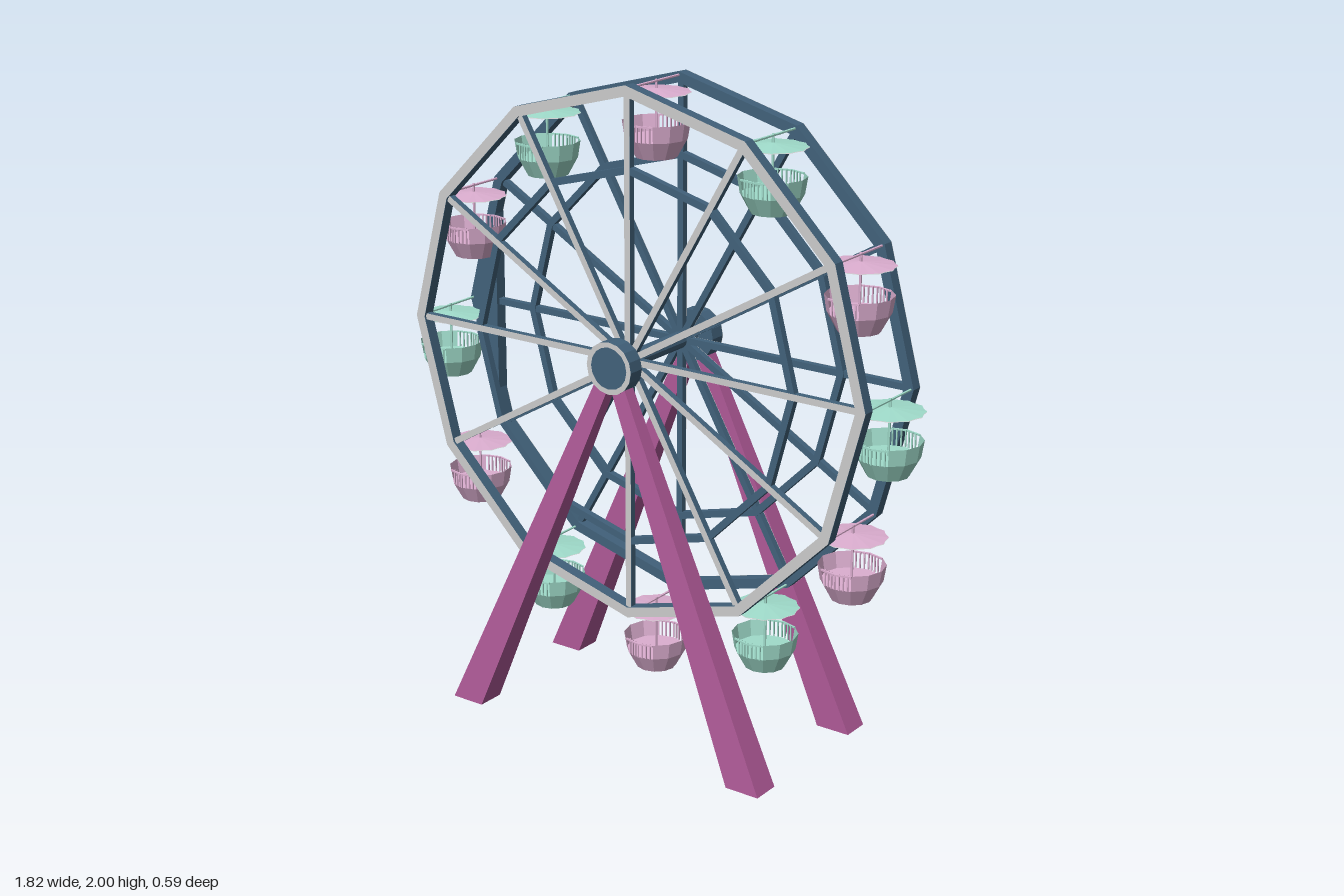
import * as THREE from 'three';

const N = 12;             // sides of the wheel and number of cabins
const CY = 1.185;         // height of the axle
const RIM = 0.815;        // outer radius of the wheel
const PIVOT = 0.805;      // radius at which cabins hang

const mat = (color) => new THREE.MeshStandardMaterial({ color, flatShading: true, side: THREE.DoubleSide });
const grey = mat(0xcccccc), blue = mat(0x41617a), purple = mat(0xb05a98);
const pink = mat(0xdcaed0), green = mat(0xa0dccb);

function add(parent, name, geometry, material, x = 0, y = 0, z = 0) {
  const mesh = new THREE.Mesh(geometry, material);
  mesh.name = name;
  mesh.position.set(x, y, z);
  parent.add(mesh);
  return mesh;
}

// Points of a regular polygon with a corner straight up
const polygon = (r, n) => Array.from({ length: n }, (_, i) => {
  const a = (i / n) * Math.PI * 2;
  return new THREE.Vector2(r * Math.sin(a), r * Math.cos(a));
});

function ringShape(outer, inner, n = N) {
  const shape = new THREE.Shape(polygon(outer, n));
  shape.holes.push(new THREE.Path(polygon(inner, n)));
  return shape;
}

const extrude = (shape, depth) => new THREE.ExtrudeGeometry(shape, { depth, bevelEnabled: false });

// One wheel side facing +z: rim, inner ring and spokes, with pale outer faces
function wheelSide() {
  const side = new THREE.Group();
  side.name = 'wheelSide';
  const rim = ringShape(RIM, RIM - 0.032);
  add(side, 'rim', extrude(rim, 0.037), blue, 0, 0, 0.111);
  add(side, 'rimFace', new THREE.ShapeGeometry(rim), grey, 0, 0, 0.1495);
  add(side, 'innerRing', extrude(ringShape(0.58, 0.558), 0.022), blue, 0, 0, 0.118);

  const length = RIM - 0.03;
  for (let i = 0; i < N; i++) {
    const spoke = new THREE.Group();
    spoke.name = 'spoke';
    spoke.rotation.z = (i / N) * Math.PI * 2;
    add(spoke, 'spokeBar', new THREE.BoxGeometry(0.02, length, 0.02), blue, 0, length / 2, 0.131);
    add(spoke, 'spokeFace', new THREE.PlaneGeometry(0.02, length), grey, 0, length / 2, 0.1425);
    side.add(spoke);
  }
  return side;
}

// Hub cap at the end of the axle, facing +z
function hub() {
  const group = new THREE.Group();
  group.name = 'hub';
  add(group, 'hubDisc', extrude(new THREE.Shape(polygon(0.08, 16)), 0.053), blue, 0, 0, 0.18);
  add(group, 'hubRing', new THREE.ShapeGeometry(ringShape(0.08, 0.064, 16)), grey, 0, 0, 0.2345);
  return group;
}

// Tapered leg: a box whose corners are moved to the foot and the top
function legGeometry(sx, sz) {
  const geo = new THREE.BoxGeometry(1, 1, 1);
  const p = geo.attributes.position;
  for (let i = 0; i < p.count; i++) {
    const top = p.getY(i) > 0;
    const cx = top ? 0.024 : 0.522, hx = top ? 0.026 : 0.056;
    const cz = top ? 0.211 : 0.25, hz = top ? 0.02 : 0.045;
    p.setXYZ(i, sx * cx + 2 * hx * p.getX(i), top ? 1.14 : 0, sz * cz + 2 * hz * p.getZ(i));
  }
  geo.computeVertexNormals();
  return geo;
}

// Cabin hanging from its pivot at the origin
function cabin(color) {
  const group = new THREE.Group();
  group.name = 'cabin';
  const v = (x, y) => new THREE.Vector2(x, y);
  const WALL = [v(0.092, -0.165), v(0.1, -0.115)];

  const bar = add(group, 'crossbar', new THREE.CylinderGeometry(0.004, 0.004, 0.26, 6), color);
  bar.rotation.x = Math.PI / 2;
  add(group, 'pole', new THREE.CylinderGeometry(0.004, 0.004, 0.17, 6), color, 0, -0.08, 0);

  // Shallow canopy with a scalloped edge and pale underside
  const roof = new THREE.ConeGeometry(0.103, 0.01, 24, 1, true);
  const p = roof.attributes.position;
  for (let i = 0; i < p.count; i++) {
    const k = Math.round(Math.atan2(p.getX(i), p.getZ(i)) / (Math.PI / 12));
    if (k % 2 !== 0) { p.setX(i, p.getX(i) * 0.94); p.setZ(i, p.getZ(i) * 0.94); }
  }
  add(group, 'roof', roof, color, 0, -0.025, 0);
  add(group, 'roofUnderside', roof.clone(), grey, 0, -0.027, 0);

  // Tub with floor, and a wall left open at front and back
  add(group, 'tub', new THREE.LatheGeometry(
    [v(0, -0.22), v(0.062, -0.22), v(0.092, -0.165), v(0, -0.165)], N), color);
  for (const start of [Math.PI / 6, Math.PI * 7 / 6]) {
    add(group, 'wall', new THREE.LatheGeometry(WALL, 4, start, Math.PI * 2 / 3), color);
  }

  // Barred gates across the two openings
  for (const s of [-1, 1]) {
    for (let i = -3; i <= 3; i++) {
      const x = i * 0.0125;
      const z = s * (0.094 - Math.abs(x) * 0.268);
      add(group, 'gateBar', new THREE.BoxGeometry(0.004, 0.05, 0.004), color, x, -0.14, z);
    }
    for (const side of [-1, 1]) {
      const rail = add(group, 'gateRail', new THREE.BoxGeometry(0.052, 0.005, 0.005), color,
        side * 0.025, -0.1175, s * 0.0925);
      rail.rotation.y = side * s * 0.262;
    }
  }
  return group;
}

export function createModel() {
  const model = new THREE.Group();
  model.name = 'ferrisWheel';

  const wheel = new THREE.Group();
  wheel.name = 'wheel';
  wheel.position.y = CY;
  model.add(wheel);

  for (const turn of [0, Math.PI]) {
    const side = wheelSide(), cap = hub();
    side.rotation.y = cap.rotation.y = turn;
    wheel.add(side, cap);
  }
  const axle = add(wheel, 'axle', new THREE.CylinderGeometry(0.026, 0.026, 0.4, 12), blue);
  axle.rotation.x = Math.PI / 2;

  // Solid panel filling one corner of the rear rim
  const c = RIM * Math.cos(Math.PI / 6), h = RIM / 2;
  const panel = new THREE.Shape([
    new THREE.Vector2(-c, -h), new THREE.Vector2(-c, h), new THREE.Vector2(-RIM, 0)]);
  add(wheel, 'rimPanel', extrude(panel, 0.04), blue, 0, 0, -0.1505);

  // Cabins in alternating colours
  for (let i = 0; i < N; i++) {
    const a = (i / N) * Math.PI * 2;
    const car = cabin(i % 2 ? green : pink);
    car.position.set(PIVOT * Math.sin(a), PIVOT * Math.cos(a), 0);
    wheel.add(car);
  }

  // Splayed support legs
  for (const sx of [-1, 1]) for (const sz of [-1, 1]) add(model, 'leg', legGeometry(sx, sz), purple);

  return model;
}
